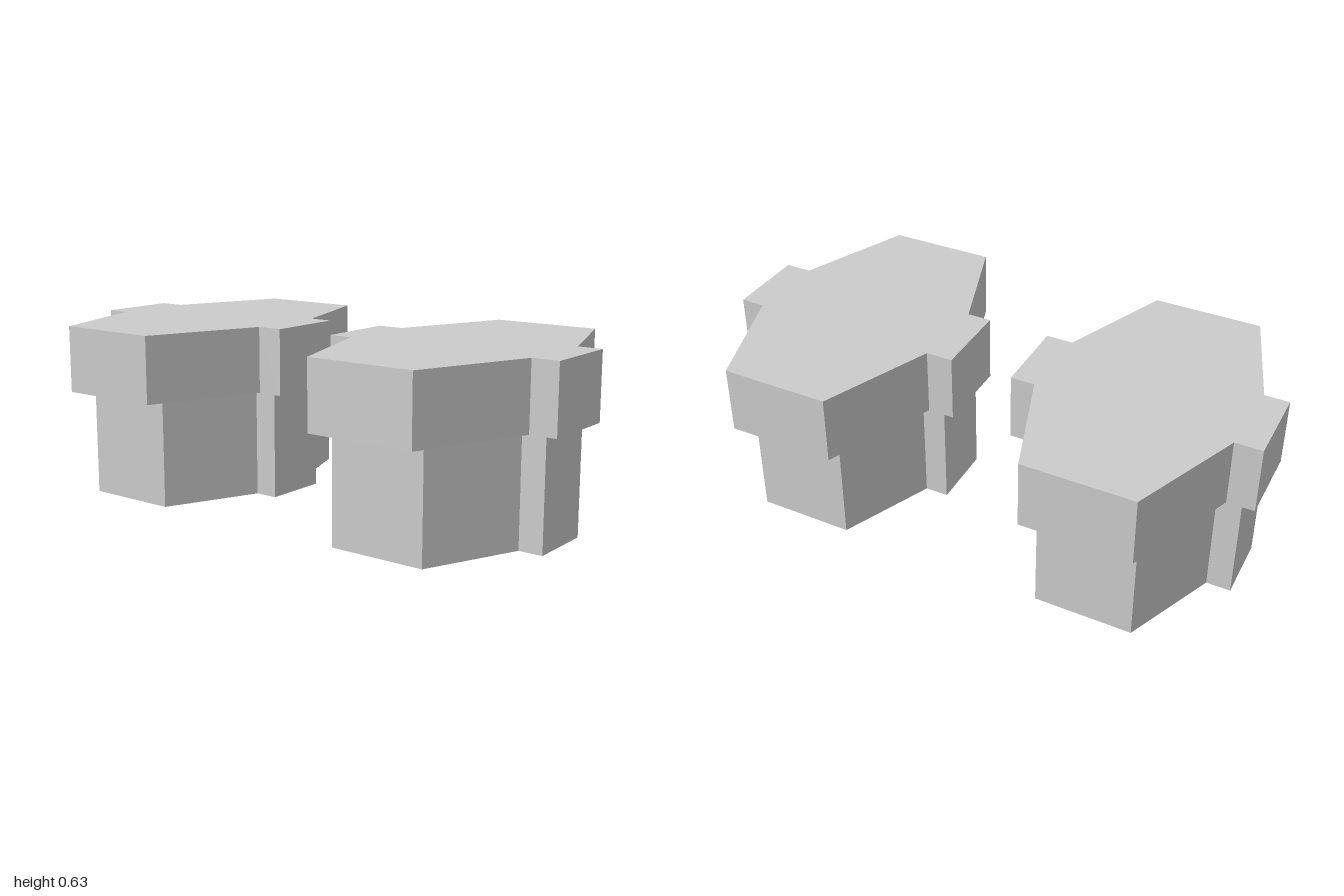
import * as THREE from 'three';

const material = new THREE.MeshStandardMaterial({ color: 0xcccccc, flatShading: true });

// Half of the plan outline as [x, z]; the other half is the same turned by 180 degrees
const HALF = [
  [0.197, 0.56], [0.348, 0.148], [0.445, 0.148],
  [0.436, -0.148], [0.348, -0.148], [0.197, -0.56],
];

// Elongated hexagon with a tab on each side, extruded upward from y0 to y1
function makePrism(name, sx, sz, y0, y1) {
  const outline = [...HALF, ...HALF.map(([x, z]) => [-x, -z])];
  const shape = new THREE.Shape(outline.map(([x, z]) => new THREE.Vector2(x * sx, -z * sz)));
  const geometry = new THREE.ExtrudeGeometry(shape, { depth: y1 - y0, bevelEnabled: false });
  geometry.rotateX(-Math.PI / 2);
  const mesh = new THREE.Mesh(geometry, material);
  mesh.position.y = y0;
  mesh.name = name;
  return mesh;
}

export function createModel() {
  const model = new THREE.Group();
  model.name = 'plugPair';

  // Two identical stepped plugs: a narrower body under a wider cap
  for (const [name, x] of [['rightPlug', -0.555], ['leftPlug', 0.555]]) {
    const plug = new THREE.Group();
    plug.name = name;
    plug.position.x = x;
    plug.add(makePrism('body', 0.888, 0.833, 0, 0.387));
    plug.add(makePrism('cap', 1, 1, 0.387, 0.627));
    model.add(plug);
  }
  return model;
}
